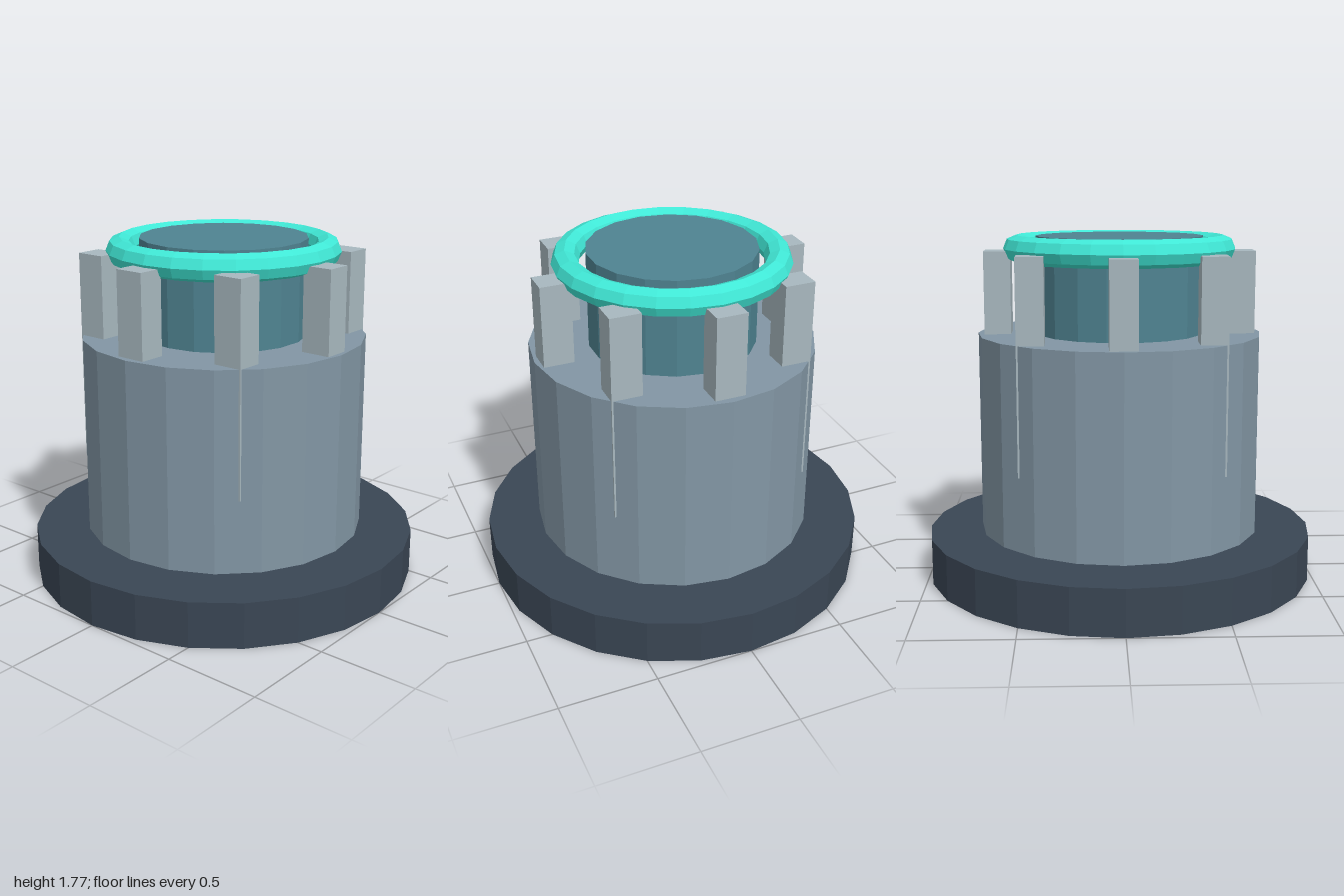
import * as THREE from 'three';

const material = (color) => new THREE.MeshStandardMaterial({ color, flatShading: true });

export function createModel() {
  const model = new THREE.Group();
  model.name = 'pedestal';

  const add = (name, geometry, mat, x, y, z) => {
    const mesh = new THREE.Mesh(geometry, mat);
    mesh.name = name;
    mesh.position.set(x, y, z);
    model.add(mesh);
    return mesh;
  };

  // Upright faceted drum between two heights
  const drum = (name, radius, bottom, top, sides, color) =>
    add(name, new THREE.CylinderGeometry(radius, radius, top - bottom, sides),
      material(color), 0, (bottom + top) / 2, 0);

  drum('base', 1.0, 0, 0.235, 24, 0x3a4654);
  drum('body', 0.727, 0.25, 1.27, 20, 0x8296a4);
  drum('core', 0.427, 0.75, 1.765, 18, 0x4f8391);

  // Ring around the top of the core
  const ring = new THREE.TorusGeometry(0.525, 0.068, 8, 24);
  ring.rotateX(Math.PI / 2);
  add('ring', ring, material(0x40e8d6), 0, 1.702, 0);

  // Eight square-on posts, sunk into the body so the diagonal corners just show
  const postGeometry = new THREE.BoxGeometry(0.155, 1.065, 0.135);
  const postMaterial = material(0xa8b8bf);
  for (let i = 0; i < 8; i++) {
    const a = (i * Math.PI) / 4;
    add(`post${i + 1}`, postGeometry, postMaterial,
      0.622 * Math.sin(a), 1.1575, 0.622 * Math.cos(a));
  }

  return model;
}
